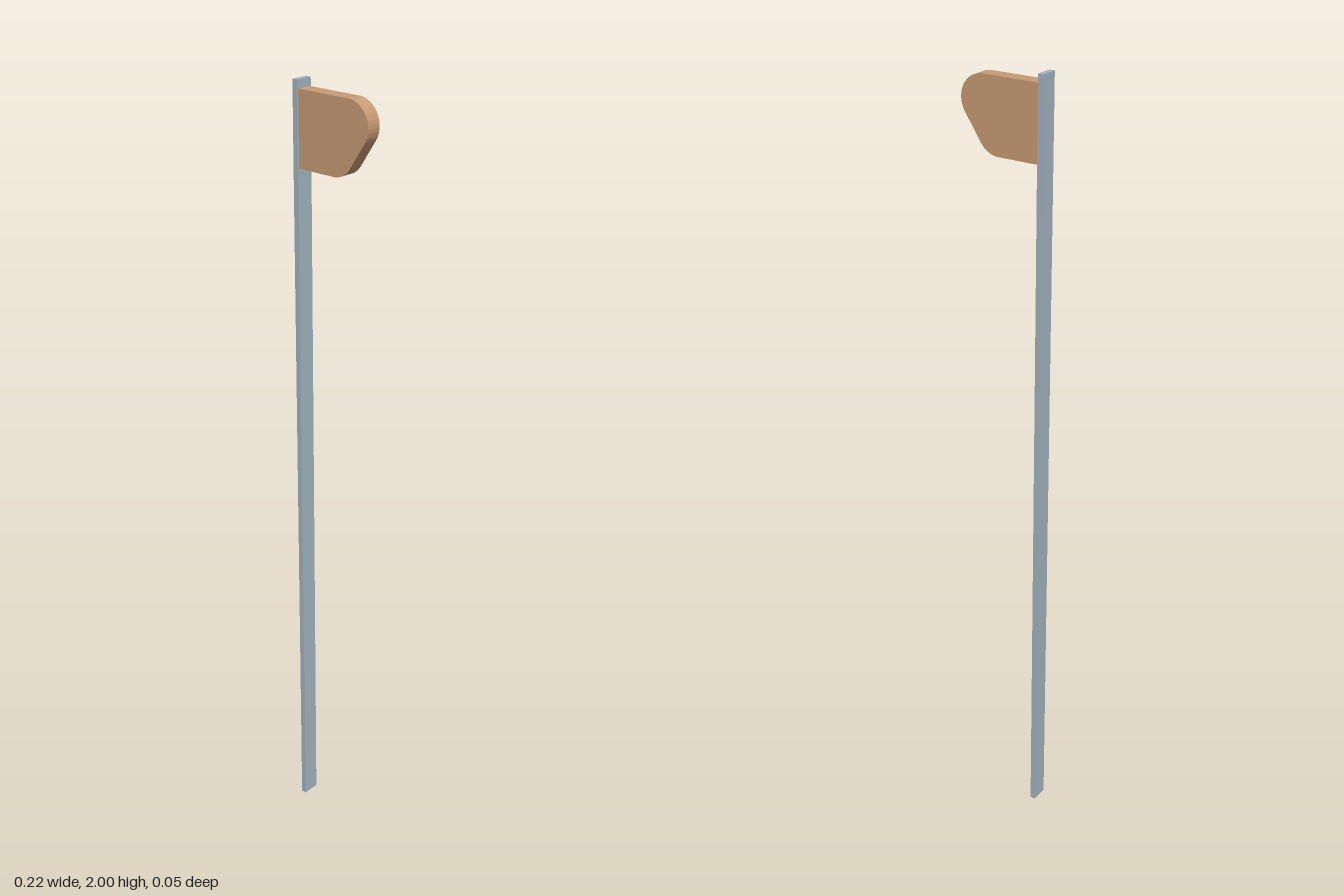
import * as THREE from 'three';
import { toCreasedNormals } from 'three/addons/utils/BufferGeometryUtils.js';

export function createModel() {
  const model = new THREE.Group();
  model.name = 'postWithBracket';

  const steel = new THREE.MeshStandardMaterial({ name: 'grey steel', color: 0xa3b4c1 });
  const wood = new THREE.MeshStandardMaterial({ name: 'light wood', color: 0xc99b75 });

  // Tall flat upright
  const left = -0.11, railWidth = 0.014;
  const upright = new THREE.Mesh(new THREE.BoxGeometry(railWidth, 2, 0.045), steel);
  upright.name = 'upright';
  upright.position.set(left + railWidth / 2, 1, 0);
  model.add(upright);

  // Bracket outline: two equal rounded corners joined by a slanted edge
  const r = 0.058, top = 1.98, bottom = 1.8, inner = left + railWidth;
  const upper = { x: 0.11 - r, y: top - r };
  const lower = { x: 0.009, y: bottom + r };
  const slant = Math.atan2(upper.y - lower.y, upper.x - lower.x) - Math.PI / 2;
  const outline = new THREE.Shape();
  outline.moveTo(inner, bottom);
  outline.lineTo(lower.x, bottom);
  outline.absarc(lower.x, lower.y, r, -Math.PI / 2, slant, false);
  outline.absarc(upper.x, upper.y, r, slant, Math.PI / 2, false);
  outline.lineTo(inner, top);
  outline.closePath();

  const depth = 0.038;
  const plate = new THREE.ExtrudeGeometry(outline, { depth, bevelEnabled: false, curveSegments: 20 });
  plate.translate(0, 0, -depth / 2);
  const bracket = new THREE.Mesh(toCreasedNormals(plate, 0.5), wood);
  bracket.name = 'bracket';
  model.add(bracket);

  return model;
}
